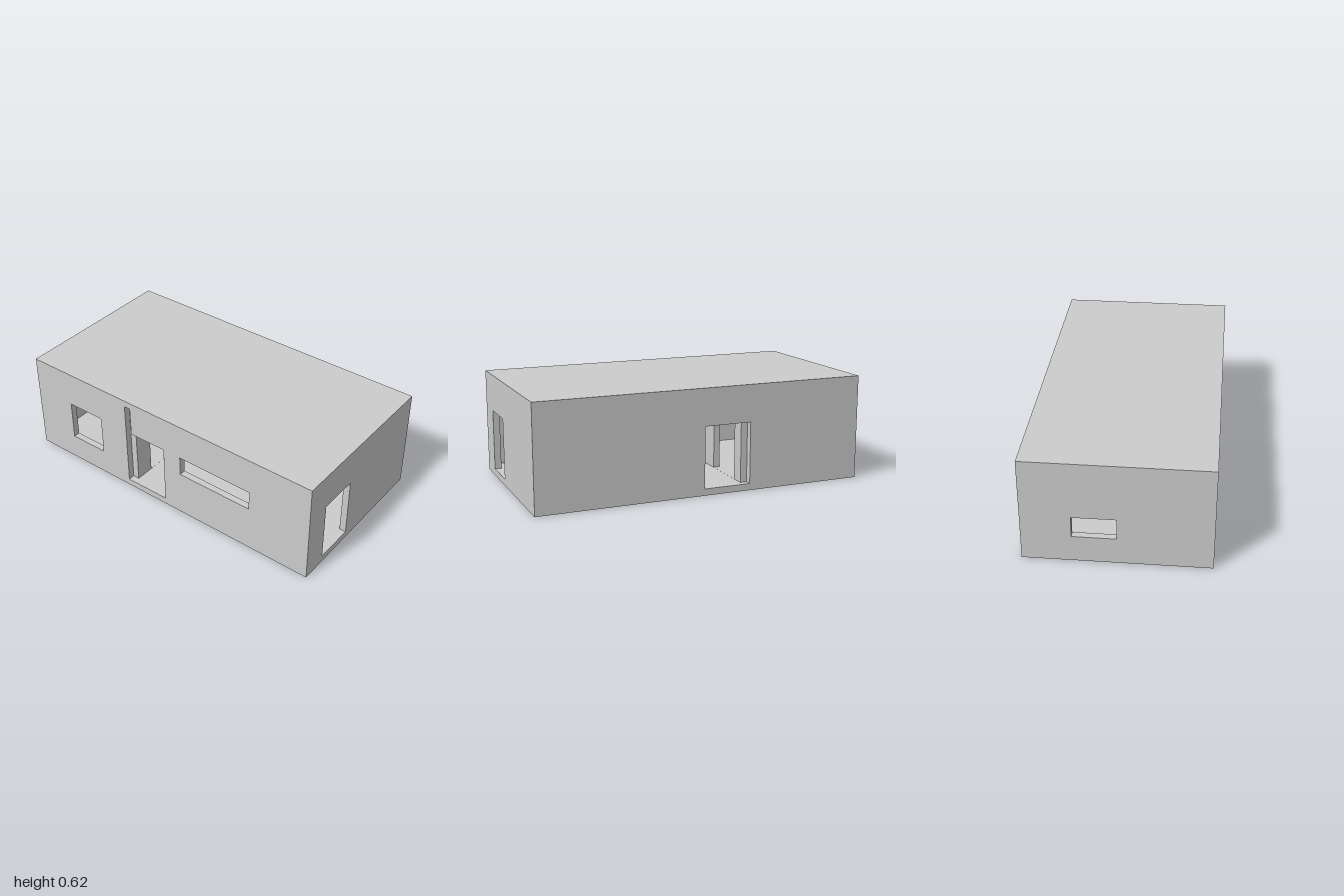
import * as THREE from 'three';

const W = 2, H = 0.625, D = 1.045, T = 0.04;
const LOW = T, DOOR_TOP = 0.405, CEILING = H - T;

const material = new THREE.MeshStandardMaterial({ color: 0xcccccc, flatShading: true });

// Corner points of a rectangular opening
const rect = (u0, u1, y0, y1) => [[u0, y0], [u1, y0], [u1, y1], [u0, y1]];

// Door with a full-height slot on its low-u side
const slottedDoor = (u0, u1) => [
  [u0, LOW], [u1, LOW], [u1, DOOR_TOP], [u0 + T, DOOR_TOP], [u0 + T, CEILING], [u0, CEILING],
];

// Upright panel with openings, extruded by the wall thickness
function panel(name, length, y0, y1, openings) {
  const toVectors = (pts) => pts.map(([u, y]) => new THREE.Vector2(u, y));
  const shape = new THREE.Shape(toVectors(rect(-length / 2, length / 2, y0, y1)));
  for (const pts of openings) shape.holes.push(new THREE.Path(toVectors(pts)));
  const geometry = new THREE.ExtrudeGeometry(shape, { depth: T, bevelEnabled: false });
  const mesh = new THREE.Mesh(geometry, material);
  mesh.name = name;
  return mesh;
}

// Wall running along x, its lower-z face at z
function wallAlongX(name, z, length, openings) {
  const mesh = panel(name, length, 0, H, openings);
  mesh.position.z = z;
  return mesh;
}

// Wall running along z, its higher-x face at x
function wallAlongZ(name, x, y0, y1, openings) {
  const mesh = panel(name, D - 2 * T, y0, y1, openings);
  mesh.rotation.y = -Math.PI / 2;
  mesh.position.x = x;
  return mesh;
}

// Horizontal slab fitted between the outer walls
function slab(name, y) {
  const mesh = new THREE.Mesh(new THREE.BoxGeometry(W - 2 * T, T, D - 2 * T), material);
  mesh.name = name;
  mesh.position.y = y;
  return mesh;
}

export function createModel() {
  const house = new THREE.Group();
  house.name = 'house';

  // Floor and flat roof
  house.add(slab('floor', T / 2), slab('roof', H - T / 2));

  // Front wall: square window, slotted door, strip window
  house.add(wallAlongX('frontWall', D / 2 - T, W, [
    rect(-0.73, -0.485, 0.16, DOOR_TOP),
    slottedDoor(-0.285, 0),
    rect(0.12, 0.605, 0.285, DOOR_TOP),
  ]));

  // Back wall: door
  house.add(wallAlongX('backWall', -D / 2, W, [rect(-0.285, 0, LOW, DOOR_TOP)]));

  // End walls: side door and small window
  house.add(wallAlongZ('leftWall', W / 2, 0, H, [rect(0.12, 0.365, LOW, DOOR_TOP)]));
  house.add(wallAlongZ('rightWall', -W / 2 + T, 0, H, [rect(-0.245, 0, 0.16, 0.285)]));

  // Inner wall with two doorways
  house.add(wallAlongZ('partition', -0.245, LOW, CEILING, [
    rect(0.12, 0.365, LOW + 0.0005, DOOR_TOP),
    [[-0.4, LOW + 0.0005], [-0.12, LOW + 0.0005], [-0.12, DOOR_TOP], [-0.36, DOOR_TOP],
      [-0.36, CEILING - 0.0005], [-0.4, CEILING - 0.0005]],
  ]));

  return house;
}
